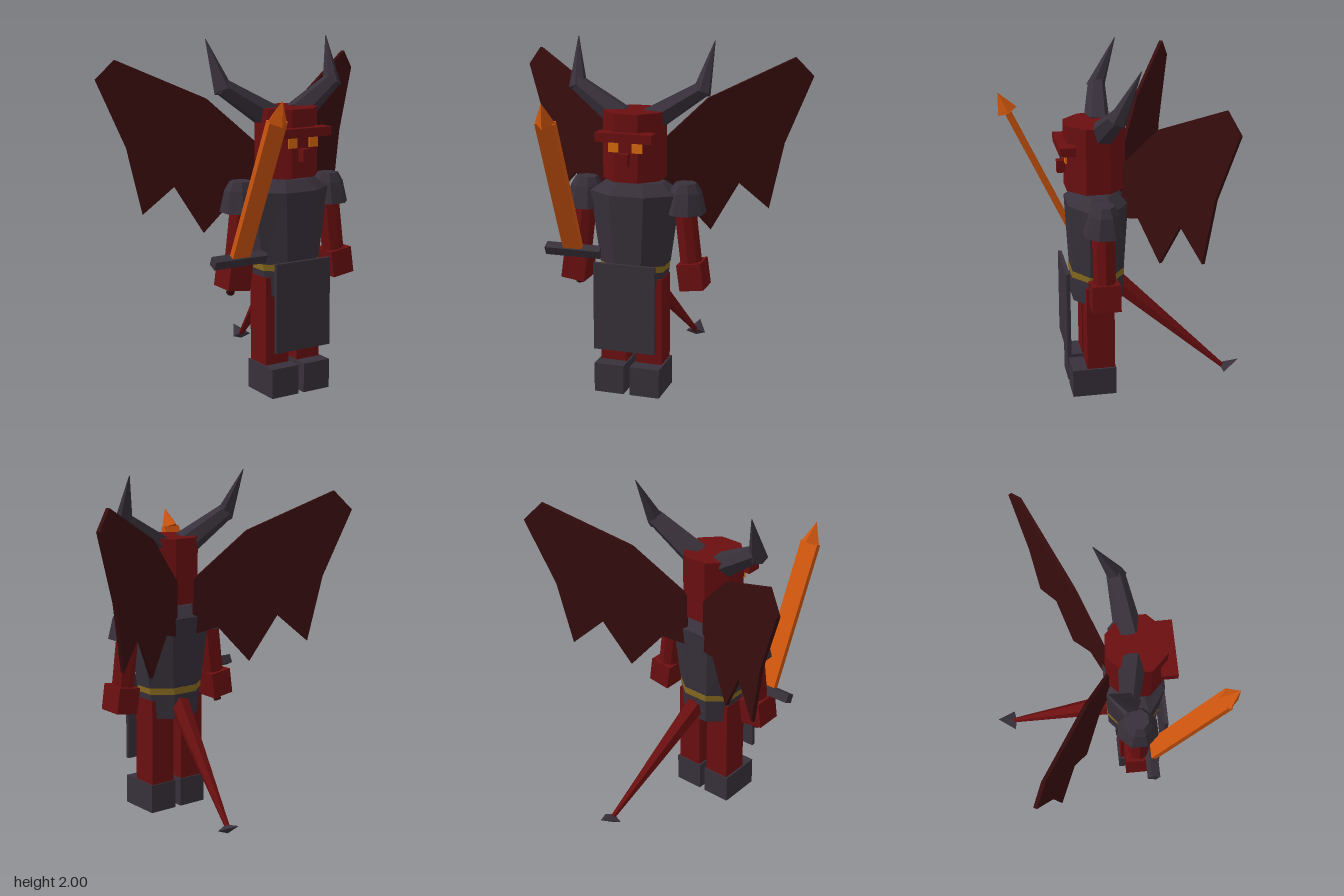
import * as THREE from 'three';

const mat = (name, color) => {
  const m = new THREE.MeshStandardMaterial({ color, flatShading: true });
  m.name = name;
  return m;
};

export function createModel() {
  const root = new THREE.Group();
  root.name = 'wingedWarrior';

  const red = mat('redSkin', 0x6b0f10);
  const dark = mat('darkArmour', 0x38303a);
  const maroon = mat('wingMaroon', 0x380d0e);
  const orange = mat('bladeOrange', 0xd0560e);
  const amber = mat('eyeAmber', 0xd86a10);
  const gold = mat('beltGold', 0x86681f);

  const add = (name, geometry, material, parent = root) => {
    const g = geometry.index ? geometry.toNonIndexed() : geometry;
    g.computeVertexNormals();
    const mesh = new THREE.Mesh(g, material);
    mesh.name = name;
    parent.add(mesh);
    return mesh;
  };

  // Box given by its centre and size
  const box = (name, material, [x, y, z], size, parent) => {
    const m = add(name, new THREE.BoxGeometry(...size), material, parent);
    m.position.set(x, y, z);
    return m;
  };

  // Octagonal body from rows of [y, half width, half depth], top to bottom
  const prism = (name, material, rows, x, z, parent) => {
    const n = rows.length - 1;
    const g = new THREE.CylinderGeometry(1, 1, 1, 8, n, false, Math.PI / 8);
    const p = g.attributes.position;
    const apothem = Math.cos(Math.PI / 8);
    for (let i = 0; i < p.count; i++) {
      const [y, rx, rz] = rows[Math.round((0.5 - p.getY(i)) * n)];
      p.setXYZ(i, p.getX(i) * rx / apothem, y, p.getZ(i) * rz / apothem);
    }
    const m = add(name, g, material, parent);
    m.position.set(x, 0, z);
    return m;
  };

  // Tapered rod between two points
  const rod = (name, material, from, to, r0, r1, sides, parent) => {
    const a = new THREE.Vector3(...from);
    const b = new THREE.Vector3(...to);
    const d = b.clone().sub(a);
    const m = add(name, new THREE.CylinderGeometry(r1, r0, d.length(), sides), material, parent);
    m.position.copy(a).add(b).multiplyScalar(0.5);
    m.quaternion.setFromUnitVectors(new THREE.Vector3(0, 1, 0), d.normalize());
    return m;
  };

  // Head and face
  prism('head', red, [[1.625, 0.165, 0.165], [1.245, 0.165, 0.165]], 0, 0.167);
  prism('neck', red, [[1.26, 0.09, 0.08], [1.2, 0.09, 0.08]], 0, 0.16);
  box('brow', red, [0, 1.5, 0.335], [0.325, 0.05, 0.09]);
  box('nose', red, [0, 1.375, 0.345], [0.05, 0.07, 0.07]);

  // Torso, belt and hips
  prism('torso', dark, [
    [1.225, 0.165, 0.106], [1.165, 0.245, 0.17], [0.755, 0.19, 0.15],
  ], 0, 0.16);
  prism('belt', gold, [[0.757, 0.187, 0.153], [0.718, 0.185, 0.153]], 0, 0.16);
  prism('hips', dark, [[0.72, 0.183, 0.15], [0.57, 0.17, 0.145]], 0, 0.16);
  box('loincloth', dark, [-0.005, 0.525, 0.348], [0.36, 0.51, 0.022]);

  // Wing outline as seen from the front
  const wing = [
    [0.06, 1.38], [0.335, 1.66], [0.785, 1.88], [0.88, 1.77], [0.735, 1.385],
    [0.66, 1.0], [0.5, 1.16], [0.355, 0.89], [0.19, 1.1], [0.06, 1.06],
  ];
  const sweep = 0.498;

  for (const s of [1, -1]) {
    const side = s > 0 ? 'left' : 'right';

    box(side + 'Eye', amber, [s * 0.068, 1.442, 0.338], [0.058, 0.056, 0.009]);

    // Horn in two pieces
    rod(side + 'HornBase', dark, [s * 0.09, 1.57, 0.135], [s * 0.365, 1.745, 0.09], 0.078, 0.05, 6);
    rod(side + 'HornTip', dark, [s * 0.36, 1.72, 0.1], [s * 0.402, 2.0, -0.025], 0.054, 0.002, 6);

    // Leg and boot
    box(side + 'Leg', red, [s * 0.105, 0.41, 0.163], [0.154, 0.54, 0.162]);
    box(side + 'Boot', dark, [s * 0.106, 0.085, 0.203], [0.175, 0.17, 0.257]);

    // Arm, hand and shoulder guard
    rod(side + 'Arm', red, [s * 0.335, 0.74, 0.165], [s * 0.285, 1.15, 0.165], 0.064, 0.064, 8);
    const hand = box(side + 'Hand', red, [s * 0.345, 0.707, 0.165], [0.14, 0.152, 0.16]);
    hand.rotation.z = s * 0.14;
    prism(side + 'ShoulderGuard', dark, [
      [1.23, 0.058, 0.055], [1.18, 0.085, 0.08], [1.06, 0.108, 0.113],
    ], s * 0.293, 0.158);

    // Swept wing plate
    const shape = new THREE.Shape(
      wing.map(([x, y]) => new THREE.Vector2(s * x / Math.cos(sweep), y)));
    const plate = new THREE.ExtrudeGeometry(shape, { depth: 0.02, bevelEnabled: false });
    plate.translate(0, 0, -0.01);
    const w = add(side + 'Wing', plate, maroon);
    w.position.z = 0.045;
    w.rotation.y = s * sweep;
  }

  // Tail with flattened barb
  rod('tail', red, [0.015, 0.65, 0.04], [0.155, 0.095, -0.585], 0.062, 0.014, 6);
  const barb = rod('tailBarb', dark, [0.155, 0.09, -0.572], [0.155, 0.138, -0.675], 0.062, 0.001, 4);
  barb.scale.z = 0.4;

  // Sword, built upright around its guard and then tipped forward
  const sword = new THREE.Group();
  sword.name = 'sword';
  sword.position.set(-0.35, 0.805, 0.235);
  sword.rotation.x = 0.443;
  root.add(sword);
  box('swordGuard', dark, [0, 0, 0], [0.332, 0.052, 0.055], sword);
  box('swordBlade', orange, [0, 0.455, 0], [0.112, 0.87, 0.035], sword);
  rod('swordTip', orange, [0, 0.885, 0], [0, 1.01, 0], 0.06, 0.001, 4, sword);
  rod('swordGrip', maroon, [0, -0.235, 0], [0, 0, 0], 0.023, 0.023, 6, sword);

  return root;
}
